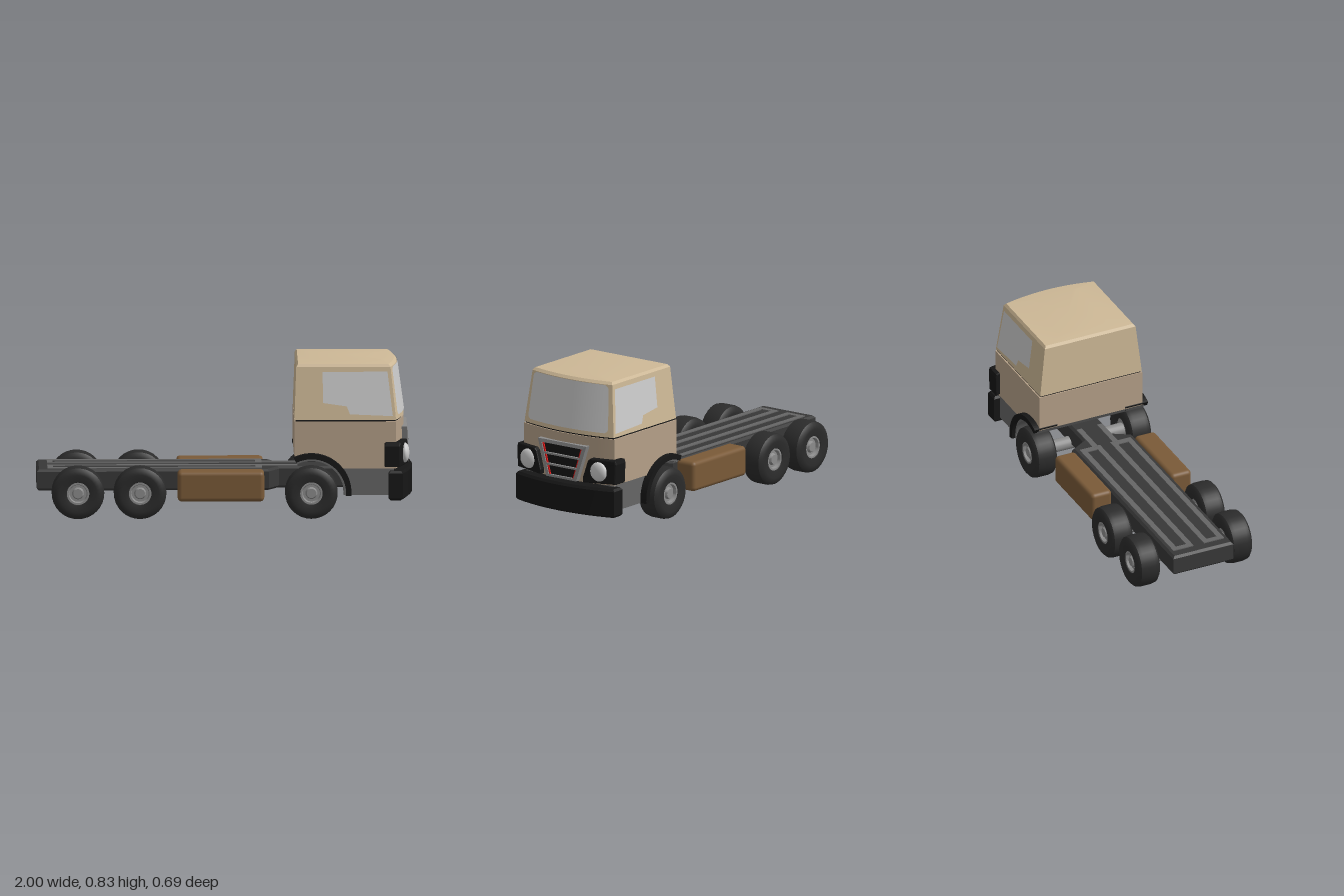
import * as THREE from 'three';
import { toCreasedNormals } from 'three/addons/utils/BufferGeometryUtils.js';
import { RoundedBoxGeometry } from 'three/addons/geometries/RoundedBoxGeometry.js';

const mat = (color) => new THREE.MeshStandardMaterial({ color, side: THREE.DoubleSide });
const paint = mat(0xcdb896), lowerPaint = mat(0xb5a088), black = mat(0x161616), rubber = mat(0x2b2b2b);
const frameDark = mat(0x383838), steel = mat(0x666666), silver = mat(0x8c8c8c), red = mat(0xdd1515);
const brown = mat(0x7a5a38), glass = mat(0xcccccc);

const bow = (z) => 0.5 * z * z; // how far the bowed nose falls back towards its sides
const zs = [-1, 1];

// Stacked plan outlines [y, rear x, nose x, half width] with a bowed nose, capped at both ends
function loft(rings, topY) {
  const N = 12, pos = [];
  const outlines = rings.map(([y, x0, x1, w]) => {
    const pts = [[x0, y, -w]];
    for (let i = 0; i <= N; i++) {
      const z = w * (2 * i / N - 1);
      pts.push([x1 - bow(z), y, z]);
    }
    pts.push([x0, y, w]);
    return pts;
  });
  const n = N + 3;
  const centre = (r, y) => [(r[1] + r[2]) / 2, y, 0];
  const last = rings.length - 1;
  for (let j = 0; j < n; j++) {
    const k = (j + 1) % n;
    for (let i = 0; i < last; i++) {
      const a = outlines[i], b = outlines[i + 1];
      pos.push(...a[j], ...b[j], ...a[k], ...a[k], ...b[j], ...b[k]);
    }
    pos.push(...centre(rings[0], rings[0][0]), ...outlines[0][j], ...outlines[0][k]);
    pos.push(...centre(rings[last], topY ?? rings[last][0]), ...outlines[last][k], ...outlines[last][j]);
  }
  const g = new THREE.BufferGeometry();
  g.setAttribute('position', new THREE.Float32BufferAttribute(pos, 3));
  return toCreasedNormals(g, 0.5);
}

function moveVertices(g, rule) {
  const p = g.attributes.position;
  for (let i = 0; i < p.count; i++) p.setXYZ(i, ...rule(p.getX(i), p.getY(i), p.getZ(i)));
  g.computeVertexNormals();
  return g;
}

const poly = (pts) => new THREE.Shape(pts.map(([x, y]) => new THREE.Vector2(x, y)));

// Side profile (x, y) extruded across z
function across(shape, z0, z1, steps = 1) {
  const g = new THREE.ExtrudeGeometry(shape, { depth: z1 - z0, steps, bevelEnabled: false, curveSegments: 16 });
  return g.translate(0, 0, z0);
}

// Front profile (z, y) extruded along x and bowed with the nose
function nosePart(shape, x0, x1, bevel = 0) {
  const g = new THREE.ExtrudeGeometry(shape, {
    depth: x1 - x0 - 2 * bevel, bevelEnabled: bevel > 0, bevelSize: bevel, bevelThickness: bevel, bevelSegments: 2,
  });
  g.rotateY(Math.PI / 2).translate(x0 + bevel, 0, 0);
  return moveVertices(g, (x, y, z) => [x - bow(z), y, z]);
}

// Slice of a ring around the front axle
function archSector(r0, r1, a0, a1) {
  const s = new THREE.Shape();
  s.absarc(0.46, 0.14, r1, a0, a1, false);
  s.absarc(0.46, 0.14, r0, a1, a0, true);
  return s;
}

export function createModel() {
  const truck = new THREE.Group();
  truck.name = 'truck';
  const add = (name, geometry, material, x = 0, y = 0, z = 0, parent = truck) => {
    const m = new THREE.Mesh(geometry, material);
    m.name = name;
    m.position.set(x, y, z);
    parent.add(m);
    return m;
  };

  // Chassis: wide deck that narrows to run under the cab
  const plan = poly([[-0.985, -0.165], [0.23, -0.165], [0.285, -0.075], [0.9, -0.075],
    [0.9, 0.075], [0.285, 0.075], [0.23, 0.165], [-0.985, 0.165]]);
  const deck = new THREE.ExtrudeGeometry(plan, { depth: 0.09, bevelSize: 0.012, bevelThickness: 0.012, bevelSegments: 1 });
  add('chassis', deck.rotateX(-Math.PI / 2).translate(0, 0.145, 0), frameDark);
  for (const s of zs) {
    const rail = poly([[-0.94, s * 0.03], [0.2, s * 0.03], [0.2, s * 0.15], [-0.94, s * 0.15]]);
    rail.holes.push(poly([[-0.91, s * 0.06], [0.165, s * 0.06], [0.165, s * 0.12], [-0.91, s * 0.12]]));
    const g = new THREE.ExtrudeGeometry(rail, { depth: 0.006, bevelEnabled: false });
    add('deckRail', g.rotateX(-Math.PI / 2).translate(0, 0.246, 0), steel);
    add('frontRail', new THREE.BoxGeometry(0.2, 0.008, 0.03), steel, 0.29, 0.249, s * 0.06);
    add('sideTank', new RoundedBoxGeometry(0.46, 0.162, 0.122, 3, 0.022), brown, -0.02, 0.17, s * 0.235);
  }

  // Wheels and axles
  const tyreProfile = [[0.056, -0.045], [0.062, -0.058], [0.1, -0.066], [0.122, -0.062], [0.136, -0.05], [0.14, -0.03],
    [0.14, 0.03], [0.136, 0.05], [0.122, 0.062], [0.1, 0.066], [0.062, 0.058], [0.056, 0.045]];
  const hubProfile = [[0, 0.052], [0.025, 0.052], [0.032, 0.038], [0.045, 0.038], [0.05, 0.055], [0.06, 0.055],
    [0.06, -0.05], [0, -0.05]];
  const lathe = (pts) => toCreasedNormals(new THREE.LatheGeometry(
    pts.map(([r, y]) => new THREE.Vector2(r, y)), 32).rotateX(Math.PI / 2), 0.6);
  const tyre = lathe(tyreProfile), hub = lathe(hubProfile.reverse());
  for (const [x, z] of [[-0.78, 0.272], [-0.45, 0.272], [0.46, 0.278]]) {
    add('axle', new THREE.CylinderGeometry(0.035, 0.035, 2 * z, 20).rotateX(Math.PI / 2), silver, x, 0.14, 0);
    for (const s of zs) {
      const wheel = new THREE.Group();
      wheel.name = 'wheel';
      wheel.position.set(x, 0.14, s * z);
      if (s < 0) wheel.rotation.y = Math.PI;
      add('tyre', tyre, rubber, 0, 0, 0, wheel);
      add('hub', hub, silver, 0, 0, 0, wheel);
      truck.add(wheel);
    }
  }

  // Lower cab with the wheel arch cut out
  const body = new THREE.Shape();
  body.moveTo(0.37, 0.525);
  body.absarc(0.46, 0.14, 0.2, 2.038, 0.707, true);
  body.lineTo(0.955, 0.27);
  body.lineTo(0.955, 0.522);
  body.lineTo(0.37, 0.522);
  const bodyGeo = moveVertices(across(body, -0.304, 0.304, 12), (x, y, z) => [x > 0.9 ? x - bow(z) : x, y, z]);
  add('lowerCab', toCreasedNormals(bodyGeo, 0.5), lowerPaint);
  add('cabSeam', loft([[0.515, 0.376, 0.948, 0.297], [0.535, 0.376, 0.948, 0.295]]), black);

  // Grey skirt, arch lining and black fenders
  const skirt = new THREE.Shape();
  skirt.moveTo(0.66, 0.125);
  skirt.lineTo(0.9, 0.125);
  skirt.lineTo(0.9, 0.272);
  skirt.absarc(0.46, 0.14, 0.2, 0.707, 0, true);
  add('skirt', across(skirt, -0.295, 0.295), steel);
  add('archLining', across(archSector(0.172, 0.198, -0.07, 2.03), -0.315, 0.315), steel);
  for (const s of zs) {
    const [a, b] = s > 0 ? [0.2, 0.335] : [-0.335, -0.2];
    add('fender', across(archSector(0.184, 0.213, -0.07, 2.03), a, b), black);
  }

  // Upper cab with a gently domed roof
  add('upperCab', loft([[0.53, 0.37, 0.955, 0.3], [0.81, 0.38, 0.917, 0.268], [0.824, 0.39, 0.903, 0.258],
    [0.831, 0.45, 0.84, 0.14]], 0.835), paint);

  // Windscreen follows the bowed, leaning front; corners are rounded
  const screen = moveVertices(new THREE.PlaneGeometry(2, 1, 16, 24), (u, v) => {
    const t = v + 0.5, edge = Math.min(t, 1 - t);
    const round = 0.02 * Math.pow(1 - Math.min(1, edge / 0.08), 2);
    const y = 0.552 + 0.256 * t, z = -u * (0.27 - 0.02 * t - round);
    return [0.959 - (y - 0.53) * 0.136 - bow(z), y, z];
  });
  add('windscreen', screen, glass);

  // Side windows with a stepped lower edge
  const pane = poly([[0.52, 0.785], [0.865, 0.785], [0.893, 0.55], [0.665, 0.56], [0.648, 0.602], [0.522, 0.62]]);
  for (const s of zs) {
    add('sideWindow', moveVertices(new THREE.ShapeGeometry(pane),
      (x, y) => [x, y, s * (0.303 - (y - 0.53) * 0.114)]), glass);
  }

  // Bumper
  add('bumper', loft([[0.1, 0.88, 0.985, 0.318], [0.112, 0.87, 1, 0.33], [0.245, 0.87, 1, 0.33],
    [0.258, 0.88, 0.988, 0.32]]), black);

  // Headlights in black corner housings
  for (const s of zs) {
    const housing = poly([[-s * 0.322, 0.288], [-s * 0.15, 0.283], [-s * 0.148, 0.3], [-s * 0.178, 0.395],
      [-s * 0.19, 0.405], [-s * 0.322, 0.405], [-s * 0.326, 0.39]]);
    add('headlightHousing', nosePart(housing, 0.9, 0.988, 0.007), black);
    const lamp = add('headlight', new THREE.SphereGeometry(0.053, 28, 18), glass, 0.958, 0.345, s * 0.235);
    lamp.scale.x = 0.45;
  }

  // Grille: tapered frame, dark panel, red edges and two bars
  const trapezoid = (top, yTop, bottom, yBottom) => poly([[-top, yTop], [-bottom, yBottom], [bottom, yBottom], [top, yTop]]);
  const surround = trapezoid(0.163, 0.473, 0.1, 0.275);
  surround.holes.push(trapezoid(0.135, 0.455, 0.083, 0.288));
  add('grilleFrame', nosePart(surround, 0.94, 0.984), silver);
  add('grillePanel', nosePart(trapezoid(0.14, 0.46, 0.088, 0.283), 0.94, 0.973), black);
  for (const s of zs) {
    add('grilleRedEdge', nosePart(poly([[s * 0.136, 0.455], [s * 0.084, 0.288], [s * 0.075, 0.288], [s * 0.126, 0.455]]),
      0.95, 0.979), red);
  }
  for (const [y, w] of [[0.4, 0.12], [0.342, 0.102]]) {
    add('grilleBar', nosePart(trapezoid(w, y + 0.005, w - 0.003, y - 0.005), 0.95, 0.985), silver);
  }
  return truck;
}
